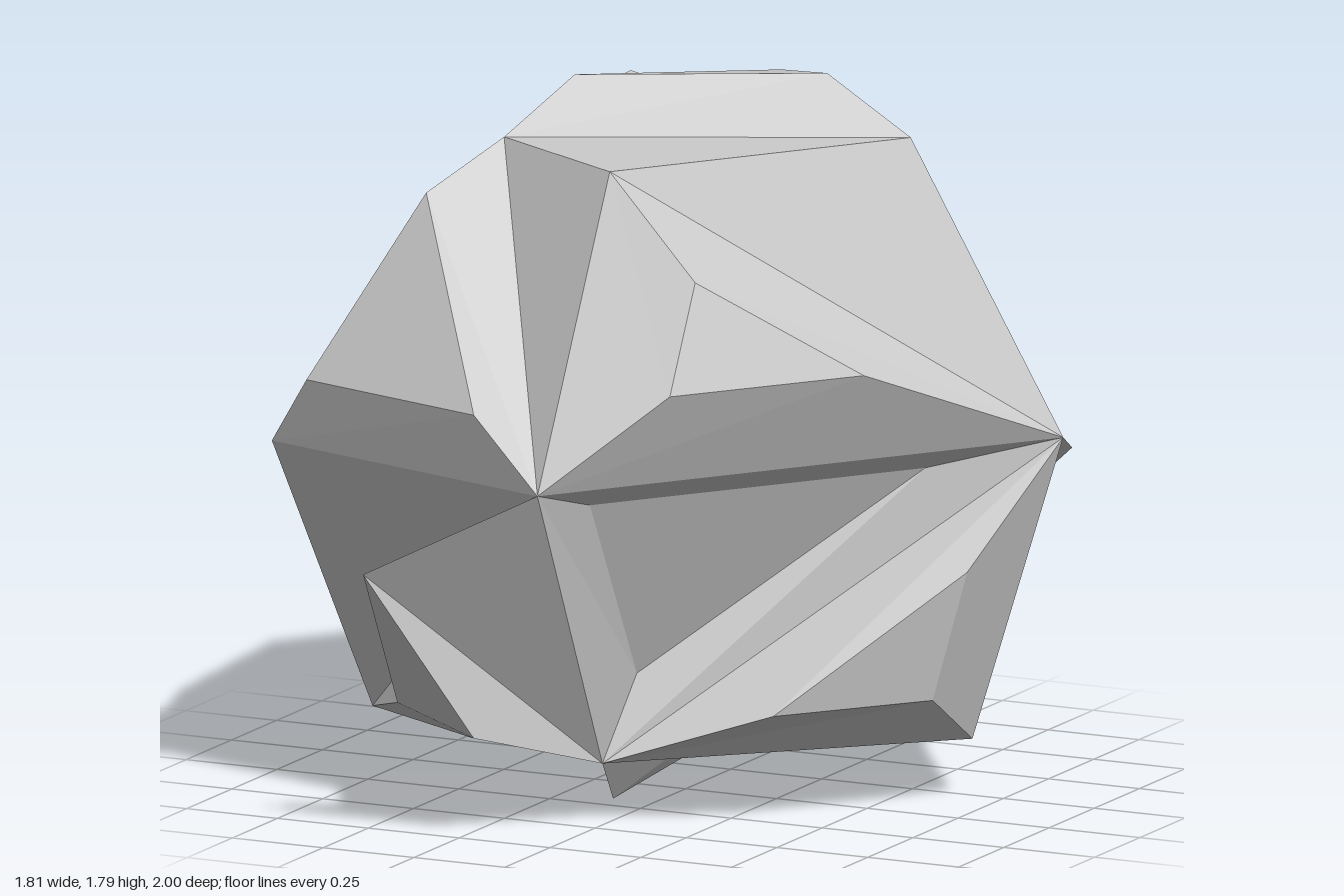
import * as THREE from 'three';

// Corner points: three rings of five, from the crown down to the foot
const P = {
  F: [0.04, 1.66, 0.5], G: [0.53, 1.66, -0.18], U: [0.01, 1.58, -0.53], X: [-0.37, 1.69, -0.44], H: [-0.37, 1.66, 0.26],
  B: [0.04, 0.92, 0.9], A: [0.9, 0.92, -0.28], V: [0.175, 0.92, -1], Y: [-0.83, 0.83, -0.81], I: [-0.83, 0.92, 0.62],
  C: [0, 0.155, 0.46], D: [0.68, 0.15, -0.22], R: [0.12, 0.31, -0.75], Z: [-0.57, 0.13, -0.43], N: [-0.63, 0.24, 0.465],
};

// Plain triangular facets
const plain = ['FHG', 'HUX', 'FAG', 'GAU', 'UAV', 'UVX', 'XHI', 'HFB', 'ADR', 'VYR', 'YZR', 'IZN', 'IBN', 'CDR', 'CZN'];

// Facets with a smaller raised or sunken triangle, one inner point per corner
const stepped = {
  HGU: [[-0.27, 1.79, 0.07], [0.28, 1.79, -0.22], [0.04, 1.73, -0.45]],
  FAB: [[0.31, 1.42, 0.57], [0.63, 1.16, 0.28], [0.31, 1.16, 0.71]],
  HBI: [[-0.46, 1.56, 0.51], [-0.15, 1.1, 0.87], [-0.7, 1.1, 0.69]],
  XIY: [[-0.64, 1.52, -0.29], [-0.825, 1.18, 0.12], [-0.815, 1.16, -0.45]],
  XVY: [[-0.41, 1.51, -0.73], [-0.06, 1.09, -1], [-0.61, 1.04, -0.9]],
  AVR: [[0.81, 0.84, -0.51], [0.53, 0.84, -0.79], [0.51, 0.6, -0.69]],
  ABC: [[0.63, 0.86, -0.06], [0.08, 0.86, 0.69], [0.05, 0.37, 0.37]],
  ACD: [[0.77, 0.62, -0.01], [0.41, 0.29, 0.34], [0.68, 0.29, 0]],
  BNC: [[-0.39, 0.7, 1], [-0.41, 0.33, 0.77], [-0.2, 0.26, 0.77]],
  IYZ: [[-0.9, 0.84, 0.25], [-0.91, 0.83, -0.65], [-0.77, 0.31, -0.48]],
  CRZ: [[-0.07, 0.02, 0.26], [-0.03, 0.09, -0.37], [-0.36, 0, -0.3]],
};

const centre = new THREE.Vector3(0, 0.9, 0);

// True when the corners run counter-clockwise seen from outside
function facesOut(corners) {
  const [a, b, c] = corners.map((p) => new THREE.Vector3(...p));
  const normal = b.clone().sub(a).cross(c.clone().sub(a));
  return normal.dot(a.add(b).add(c).divideScalar(3).sub(centre)) > 0;
}

export function createModel() {
  const positions = [];
  const tri = (...points) => points.forEach((p) => positions.push(...p));

  for (const name of plain) {
    const outer = [...name].map((k) => P[k]);
    if (!facesOut(outer)) outer.reverse();
    tri(...outer);
  }

  for (const [name, points] of Object.entries(stepped)) {
    const outer = [...name].map((k) => P[k]);
    const inner = [...points];
    if (!facesOut(outer)) {
      outer.reverse();
      inner.reverse();
    }
    tri(...inner);
    // Sloping sides joining the inner triangle to the corners
    for (let i = 0; i < 3; i++) {
      const j = (i + 1) % 3;
      tri(outer[i], outer[j], inner[j]);
      tri(outer[i], inner[j], inner[i]);
    }
  }

  const geometry = new THREE.BufferGeometry();
  geometry.setAttribute('position', new THREE.Float32BufferAttribute(positions, 3));
  geometry.computeVertexNormals();

  const rock = new THREE.Mesh(geometry, new THREE.MeshStandardMaterial({ color: 0xcccccc, flatShading: true }));
  rock.name = 'rock';
  const group = new THREE.Group();
  group.name = 'facetedRock';
  group.add(rock);
  return group;
}
